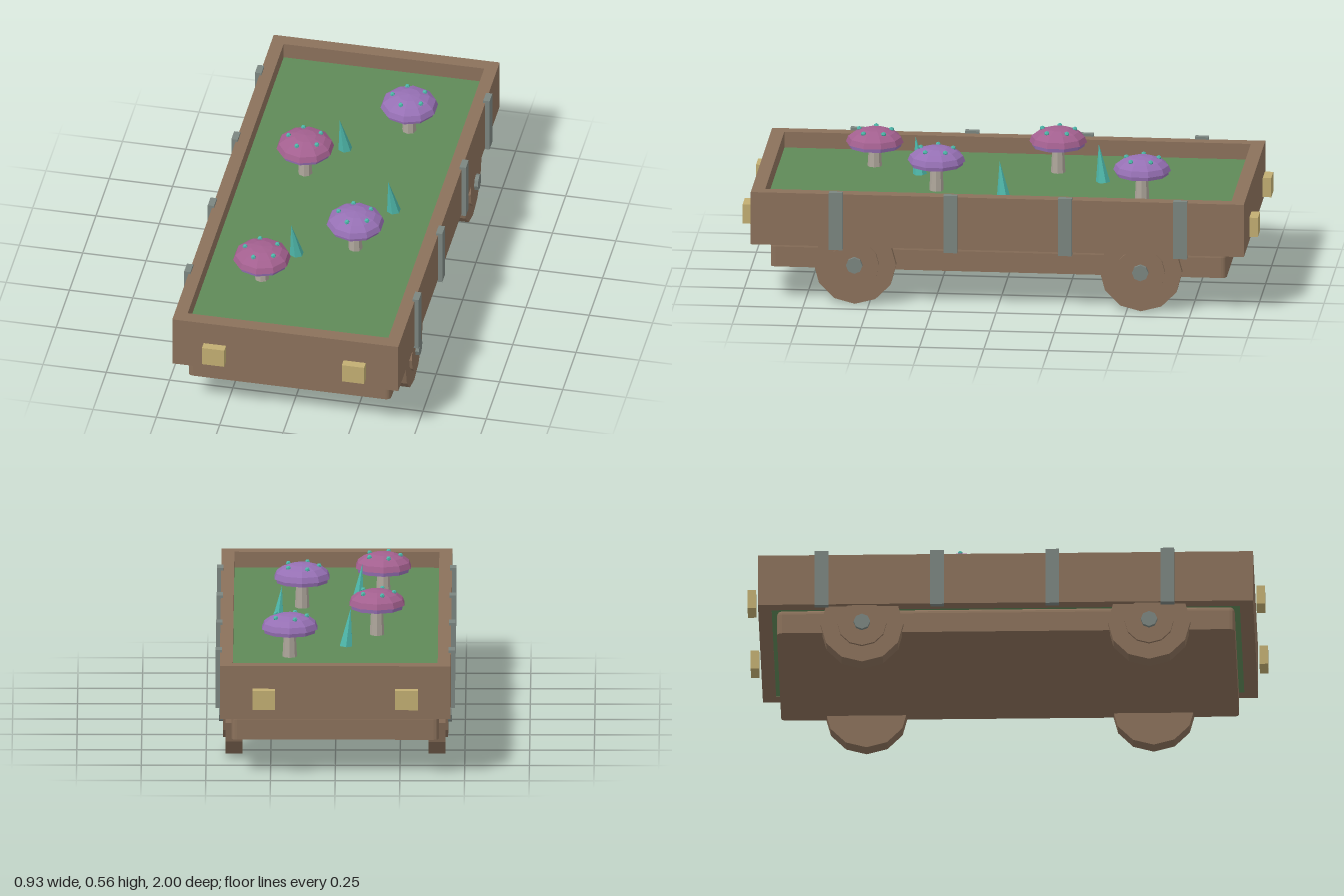
import * as THREE from 'three';
import { RoundedBoxGeometry } from 'three/addons/geometries/RoundedBoxGeometry.js';

function material(name, color) {
  const m = new THREE.MeshStandardMaterial({ color, flatShading: true });
  m.name = name;
  return m;
}

export function createModel() {
  const wood = material('wood', 0x8b715b);
  const grass = material('grass', 0x5f8a58);
  const iron = material('iron', 0x7b8580);
  const lampYellow = material('lamp yellow', 0xc2ae72);
  const pink = material('pink cap', 0xa3608f);
  const purple = material('purple cap', 0x9670b4);
  const stemGrey = material('stem grey', 0xaea69b);
  const teal = material('teal', 0x4db5a8);

  const model = new THREE.Group();
  model.name = 'mushroomWagon';

  function add(name, geometry, mat, x, y, z, parent = model) {
    const mesh = new THREE.Mesh(geometry, mat);
    mesh.name = name;
    mesh.position.set(x, y, z);
    parent.add(mesh);
    return mesh;
  }
  const box = (w, h, d) => new THREE.BoxGeometry(w, h, d);

  // Chassis: rounded top edges, flat cut underside
  const chassis = new RoundedBoxGeometry(0.8, 0.2, 1.77, 2, 0.02);
  const pos = chassis.attributes.position;
  for (let i = 0; i < pos.count; i++) pos.setY(i, Math.max(0, pos.getY(i)));
  chassis.computeVertexNormals();
  add('chassis', chassis, wood, 0, 0.135, 0);

  // Tray: one rectangular ring of planks around the grass bed
  const rim = new THREE.Shape();
  const rect = (path, x, z) => path.moveTo(-x, -z).lineTo(x, -z).lineTo(x, z).lineTo(-x, z).closePath();
  rect(rim, 0.446, 0.957);
  const opening = new THREE.Path();
  rect(opening, 0.396, 0.905);
  rim.holes.push(opening);
  const walls = new THREE.ExtrudeGeometry(rim, { depth: 0.21, bevelEnabled: false });
  walls.rotateX(-Math.PI / 2);
  add('trayWalls', walls, wood, 0, 0.235, 0);
  const floorY = 0.382;
  add('grassBed', box(0.792, floorY - 0.236, 1.81), grass, 0, (floorY + 0.236) / 2, 0);

  // Straps, wheels and lamps, mirrored left and right
  for (const side of [-1, 1]) {
    for (const z of [-0.711, -0.264, 0.181, 0.626]) {
      add('strap', box(0.025, 0.23, 0.053), iron, side * 0.4505, 0.34, z);
    }
    for (const z of [-0.555, 0.555]) {
      const wheel = new THREE.Group();
      wheel.name = 'wheel';
      wheel.position.set(side * 0.3925, 0.16, z);
      wheel.rotation.z = -side * Math.PI / 2;
      model.add(wheel);
      add('tyre', new THREE.CylinderGeometry(0.16, 0.16, 0.065, 12), wood, 0, 0, 0, wheel);
      add('hub', new THREE.CylinderGeometry(0.095, 0.095, 0.05, 12), wood, 0, 0.018, 0, wheel);
      add('axleBolt', new THREE.CylinderGeometry(0.032, 0.032, 0.04, 8), iron, 0, 0.038, 0, wheel);
    }
    for (const end of [-1, 1]) {
      add('lamp', box(0.088, 0.077, 0.033), lampYellow, side * 0.276, 0.319, end * 0.9835);
    }
  }

  // Mushrooms: tapered stem, gill band, faceted dome and a ring of spots
  const capRadius = 0.112, domeHeight = 0.057;
  function mushroom(x, z, top, capMaterial) {
    const g = new THREE.Group();
    g.name = 'mushroom';
    g.position.set(x, 0, z);
    model.add(g);
    const domeY = top - domeHeight;
    const stemHeight = domeY - floorY;
    add('stem', new THREE.CylinderGeometry(0.022, 0.028, stemHeight, 8), stemGrey,
      0, floorY + stemHeight / 2, 0, g);
    add('gills', new THREE.CylinderGeometry(0.105, 0.102, 0.018, 10), purple, 0, domeY - 0.007, 0, g);
    const profile = [new THREE.Vector2(0, 0)];
    for (let i = 0; i <= 4; i++) {
      const a = (i / 4) * Math.PI / 2;
      profile.push(new THREE.Vector2(i === 4 ? 0 : capRadius * Math.cos(a), domeHeight * Math.sin(a)));
    }
    add('cap', new THREE.LatheGeometry(profile, 10), capMaterial, 0, domeY, 0, g);
    for (let i = 0; i < 5; i++) {
      const a = Math.PI + i * Math.PI * 2 / 5;
      add('spot', new THREE.IcosahedronGeometry(0.0105, 0), teal,
        0.066 * Math.cos(a), domeY + 0.046, 0.066 * Math.sin(a), g);
    }
  }
  mushroom(0.177, -0.537, 0.553, purple);
  mushroom(-0.159, -0.18, 0.561, pink);
  mushroom(0.132, 0.265, 0.557, purple);
  mushroom(-0.181, 0.534, 0.534, pink);

  // Leaning crystal spikes
  for (const [x, z] of [[-0.045, -0.36], [0.222, 0], [-0.087, 0.355]]) {
    const spike = add('crystalSpike', new THREE.ConeGeometry(0.028, 0.15, 6), teal, x - 0.004, floorY + 0.071, z + 0.004);
    spike.rotation.set(0.12, 0, 0.12);
  }

  return model;
}
